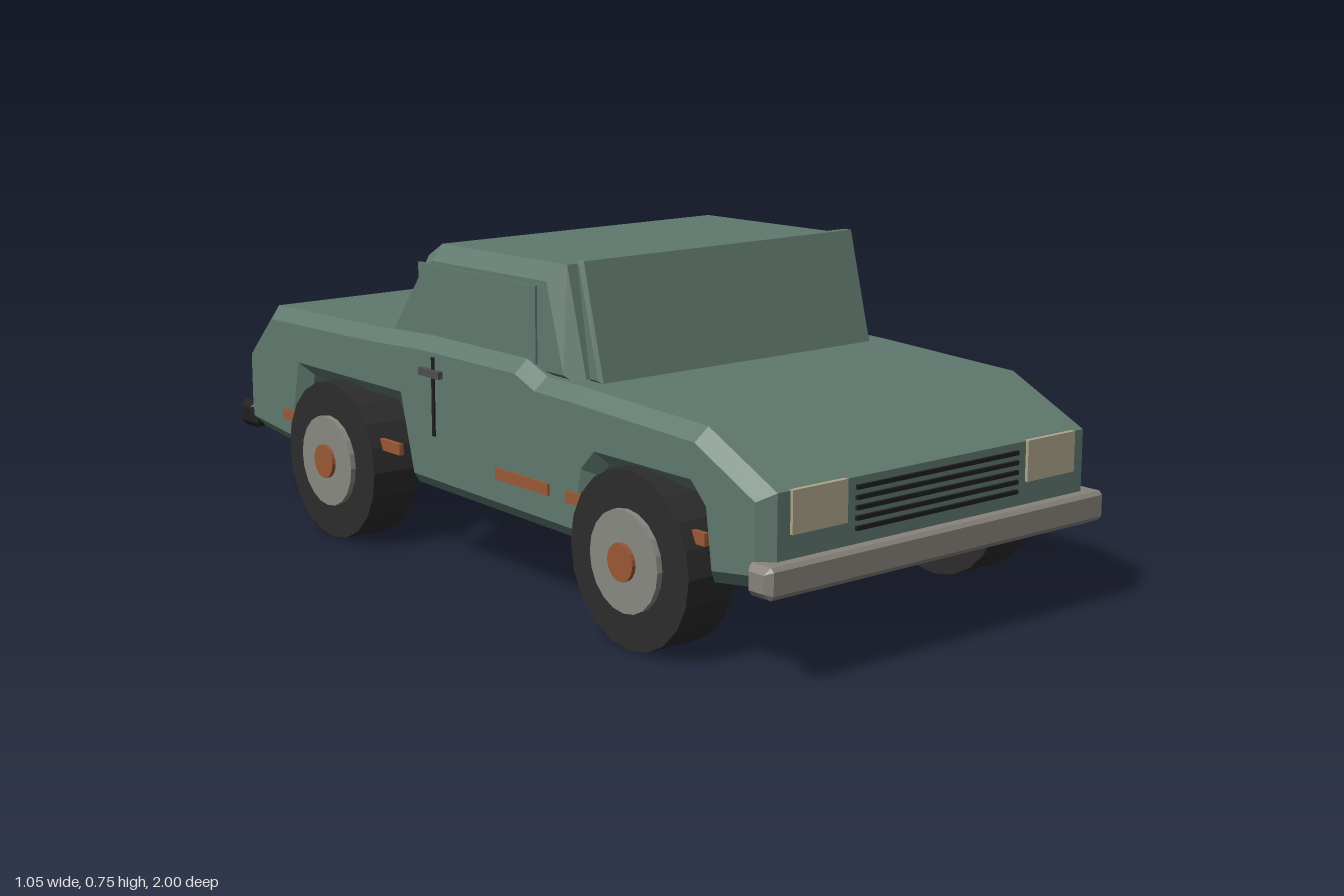
import * as THREE from 'three';

const mat = (name, color) => {
  const m = new THREE.MeshStandardMaterial({ color });
  m.name = name;
  return m;
};

export function createModel() {
  const car = new THREE.Group();
  car.name = 'pickupTruck';
  const green = mat('greenPaint', 0x5f786d);
  const rubber = mat('rubber', 0x2c2c2c);
  const black = mat('blackTrim', 0x1e1f1f);
  const chrome = mat('bumperMetal', 0x87827a);
  const hubGrey = mat('hubGrey', 0x878981);
  const cream = mat('headlightCream', 0xaea58a);
  const orange = mat('orangeLens', 0x9a5836);
  const steel = mat('handleSteel', 0x4c4f4d);

  const add = (name, geo, material, x = 0, y = 0, z = 0) => {
    const mesh = new THREE.Mesh(geo, material);
    mesh.name = name;
    mesh.position.set(x, y, z);
    car.add(mesh);
    return mesh;
  };

  // Side profile of [z, y] points swept across x, with chamfered flanks
  const sweep = (points, halfWidth, bevel) => {
    const shape = new THREE.Shape(points.map(([z, y]) => new THREE.Vector2(z, y)));
    const depth = 2 * (halfWidth - bevel);
    const geo = new THREE.ExtrudeGeometry(shape, {
      depth, bevelEnabled: bevel > 0, bevelSegments: 1,
      bevelSize: bevel, bevelThickness: bevel, bevelOffset: -bevel,
    });
    geo.translate(0, 0, -depth / 2);
    geo.rotateY(-Math.PI / 2);
    return geo;
  };

  // Lower body with both wheel arches cut across it
  add('body', sweep([
    [0.97, 0.2], [0.97, 0.39], [0.77, 0.485], [0.38, 0.5], [0.25, 0.503],
    [0.18, 0.53], [-0.18, 0.53], [-0.38, 0.52], [-0.85, 0.51], [-0.97, 0.39],
    [-0.97, 0.195], [-0.735, 0.17], [-0.69, 0.36], [-0.29, 0.36], [-0.24, 0.18],
    [0.4, 0.17], [0.43, 0.32], [0.46, 0.35], [0.74, 0.35], [0.77, 0.32], [0.79, 0.175],
  ], 0.468, 0.03), green);

  // Cab
  add('cab', sweep([
    [0.335, 0.48], [0.265, 0.738], [-0.195, 0.732], [-0.25, 0.7], [-0.385, 0.5], [-0.385, 0.48],
  ], 0.43, 0.035), green);
  add('windshield', sweep([
    [0.378, 0.498], [0.312, 0.75], [0.292, 0.75], [0.335, 0.498],
  ], 0.395, 0.008), green);
  add('rearWindow', sweep([
    [-0.27, 0.655], [-0.285, 0.675], [-0.3, 0.665], [-0.393, 0.53], [-0.36, 0.52],
  ], 0.385, 0.008), green);

  // Bumpers
  const bumper = (z0, z1) => [
    [z0, 0.2], [z0, 0.247], [z0 + 0.008, 0.255], [z1 - 0.008, 0.255],
    [z1, 0.247], [z1, 0.2], [z1 - 0.008, 0.19], [z0 + 0.008, 0.19],
  ];
  add('frontBumper', sweep(bumper(0.93, 1), 0.487, 0.014), chrome);
  add('rearBumper', sweep(bumper(-1, -0.93), 0.475, 0.014), black);

  // Grille slats
  for (let i = 0; i < 5; i++) {
    add('grilleSlat', new THREE.BoxGeometry(0.465, 0.009, 0.009), black, 0, 0.287 + i * 0.0207, 0.972);
  }

  for (const s of [1, -1]) {
    // Lights
    add('headlight', new THREE.BoxGeometry(0.146, 0.088, 0.016), cream, s * 0.332, 0.348, 0.969);
    add('tailLight', new THREE.BoxGeometry(0.11, 0.09, 0.016), orange, s * 0.334, 0.325, -0.971);

    // Side window plate
    const plate = sweep([[0.205, 0.515], [0.205, 0.69], [-0.235, 0.69], [-0.235, 0.515]], 0.004, 0);
    add('sideWindow', plate, green, s * 0.431);

    // Door seam and handle
    add('doorSeam', new THREE.BoxGeometry(0.008, 0.18, 0.009), black, s * 0.468, 0.4, -0.132);
    add('doorHandle', new THREE.BoxGeometry(0.016, 0.017, 0.08), steel, s * 0.472, 0.454, -0.137);

    // Side markers, two of them running behind the wheels
    for (const [z0, z1, y] of [[0.355, 0.8, 0.268], [0.105, 0.295, 0.27], [-0.785, -0.27, 0.253]]) {
      add('sideMarker', new THREE.BoxGeometry(0.012, 0.026, z1 - z0), orange, s * 0.467, y, (z0 + z1) / 2);
    }

    // Wheels: tyre, hub and cap
    for (const z of [0.6, -0.52]) {
      for (const [name, r, x0, x1, m] of [
        ['tyre', 0.188, 0.383, 0.502, rubber],
        ['hub', 0.108, 0.49, 0.515, hubGrey],
        ['hubCap', 0.04, 0.5, 0.524, orange],
      ]) {
        const geo = new THREE.CylinderGeometry(r, r, x1 - x0, 20).rotateZ(Math.PI / 2);
        add(name, geo, m, s * (x0 + x1) / 2, 0.188, z);
      }
    }
  }

  for (const m of [green, rubber, black, chrome, hubGrey, cream, orange, steel]) m.flatShading = true;
  return car;
}
